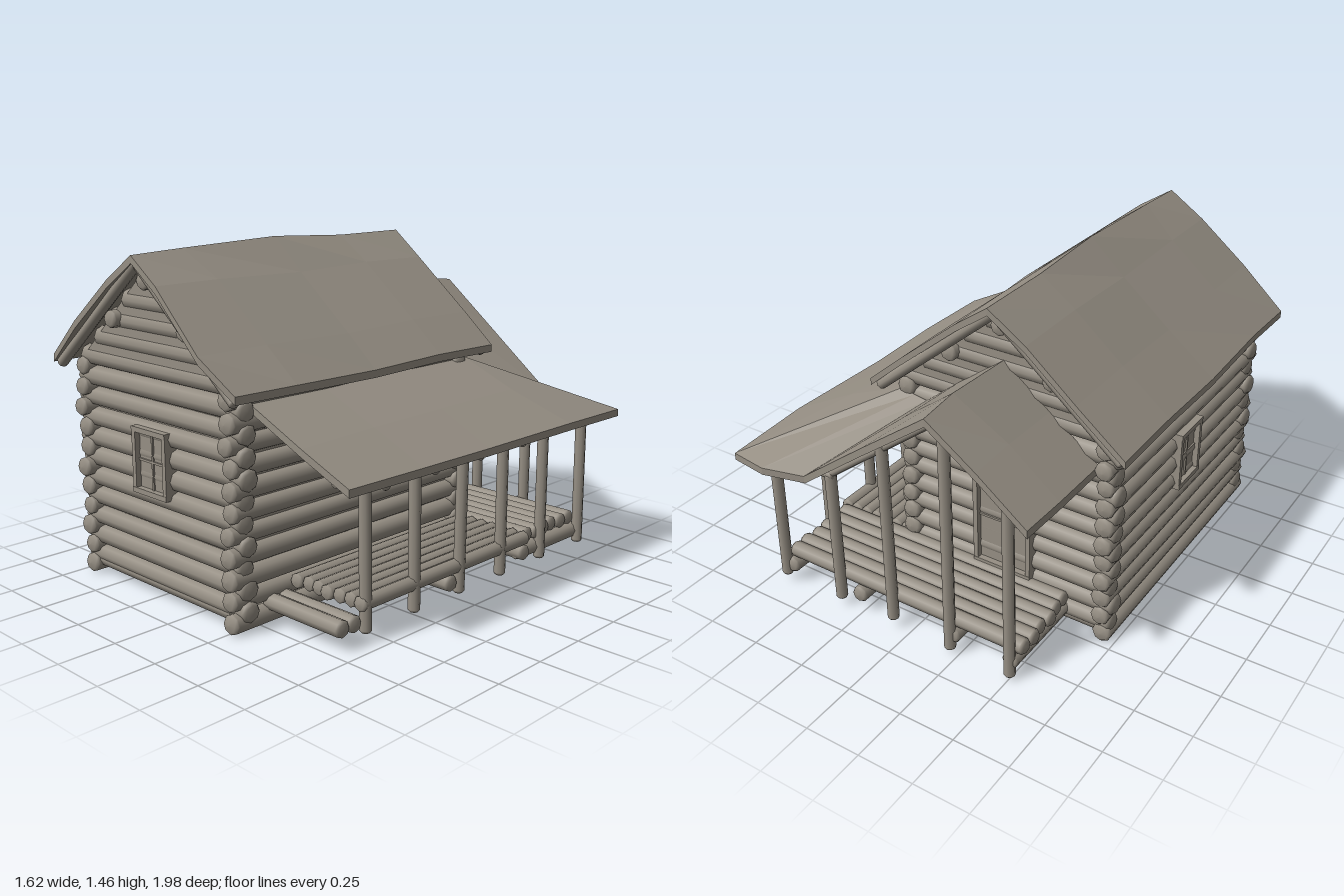
import * as THREE from 'three';

const wood = new THREE.MeshStandardMaterial({ color: 0x968f84 });
wood.name = 'weathered wood';

let seed = 7;
const jitter = (s) => {
  seed = (seed * 16807) % 2147483647;
  return (seed / 2147483647 - 0.5) * 2 * s;
};

function add(parent, name, geometry) {
  const mesh = new THREE.Mesh(geometry, wood);
  mesh.name = name;
  parent.add(mesh);
  return mesh;
}

// Eight-sided log with rounded ends, running from a to b
function log(parent, name, a, b, r) {
  const p = new THREE.Vector3(...a), q = new THREE.Vector3(...b);
  const h = p.distanceTo(q) / 2, c = r * 0.35;
  const profile = [[0, -h], [r * 0.75, -h + c * 0.2], [r, -h + c], [r, -h + c * 1.5],
    [r, h - c * 1.5], [r, h - c], [r * 0.75, h - c * 0.2], [0, h]]
    .map(([x, y]) => new THREE.Vector2(x, y));
  const mesh = add(parent, name, new THREE.LatheGeometry(profile, 8));
  mesh.position.copy(p).add(q).multiplyScalar(0.5);
  mesh.quaternion.setFromUnitVectors(new THREE.Vector3(0, 1, 0), q.sub(p).normalize());
  return mesh;
}

// Upright prism from an outline in x and y, between two depths
function prism(parent, name, points, z0, z1) {
  const shape = new THREE.Shape(points.map(([x, y]) => new THREE.Vector2(x, y)));
  const g = new THREE.ExtrudeGeometry(shape, { depth: z1 - z0, bevelEnabled: false });
  add(parent, name, g).position.z = z0;
}

// Closed slab over a grid of points: rows run to +z, columns run to +x
function slab(parent, name, rows, t) {
  const m = rows.length, n = rows[0].length, N = m * n;
  const top = rows.flat(), pos = [], idx = [];
  top.forEach(([x, y, z]) => pos.push(x, y, z));
  top.forEach(([x, y, z]) => pos.push(x, y - t, z));
  for (let i = 0; i < m - 1; i++) for (let j = 0; j < n - 1; j++) {
    const a = i * n + j, b = a + 1, c = a + n, d = c + 1;
    idx.push(a, c, b, b, c, d, a + N, b + N, c + N, b + N, d + N, c + N);
  }
  const rim = [];
  for (let j = 0; j < n; j++) rim.push((m - 1) * n + j);
  for (let i = m - 2; i >= 0; i--) rim.push(i * n + n - 1);
  for (let j = n - 2; j >= 0; j--) rim.push(j);
  for (let i = 1; i < m - 1; i++) rim.push(i * n);
  rim.forEach((p, k) => {
    const q = rim[(k + 1) % rim.length];
    idx.push(p + N, q + N, q, p + N, q, p);
  });
  const indexed = new THREE.BufferGeometry();
  indexed.setAttribute('position', new THREE.Float32BufferAttribute(pos, 3));
  indexed.setIndex(idx);
  const g = indexed.toNonIndexed();
  g.computeVertexNormals();
  return add(parent, name, g);
}

// Framed opening with crossbars, facing +z
function opening(parent, name, w, h, barsX, barsY) {
  const g = new THREE.Group();
  g.name = name;
  const box = (part, bw, bh, bd, x, y, z) =>
    add(g, part, new THREE.BoxGeometry(bw, bh, bd)).position.set(x, y, z);
  box('panel', w, h, 0.04, 0, 0, -0.01);
  for (const s of [-1, 1]) {
    box('jamb', 0.022, h, 0.07, s * (w / 2 - 0.011), 0, 0);
    box('rail', w, 0.022, 0.074, 0, s * (h / 2 - 0.011), 0);
  }
  barsX.forEach((x) => box('mullion', 0.01, h, 0.05, x, 0, -0.008));
  barsY.forEach((y) => box('crossbar', w, 0.01, 0.05, 0, y, -0.008));
  parent.add(g);
  return g;
}

export function createModel() {
  const model = new THREE.Group();
  model.name = 'logCabin';
  const part = (name) => {
    const g = new THREE.Group();
    g.name = name;
    model.add(g);
    return g;
  };
  const L = -0.69, R = 0.26, F = 0.83, B = -0.43, C = -0.22, step = 0.0885;

  // Solid core behind the logs with a raised floor, and the gable filling
  prism(model, 'wallCore', [[L, 0.16], [R, 0.16], [R, 0.98], [L, 0.98]], B, F);
  prism(model, 'gableCore', [[L, 0.98], [R, 0.98], [C, 1.4]], B - 0.034, F + 0.034);

  // Log walls, interlocking at the corners
  const walls = part('logWalls');
  for (let i = 0; i < 11; i++) {
    const y = 0.042 + i * step;
    for (const x of [L, R]) {
      log(walls, 'sideLog', [x + jitter(0.006), y, B - 0.065 + jitter(0.015)],
        [x + jitter(0.006), y, F + 0.07 + jitter(0.015)], 0.042 + jitter(0.003));
    }
  }
  for (const z of [F, B]) {
    log(walls, 'sillLog', [L, 0.06, z], [R, 0.06, z], 0.035);
    for (let i = 0; i < 10; i++) {
      const y = 0.086 + i * step;
      log(walls, 'endLog', [L - 0.05 + jitter(0.012), y, z + jitter(0.005)],
        [R + 0.05 + jitter(0.012), y, z + jitter(0.005)], 0.044 + jitter(0.003));
    }
    for (let i = 0; i < 5; i++) {
      const y = 0.971 + i * step, half = (1.405 - y) / 0.86;
      log(walls, 'gableLog', [C - half, y, z], [C + half, y, z], 0.045);
    }
  }
  for (const [x, y] of [[C, 1.33], [C - 0.23, 1.155], [C + 0.24, 1.155]]) {
    log(walls, 'purlin', [x, y, B - 0.08], [x, y, F + 0.08], 0.037);
  }

  // Windows and back door
  opening(model, 'frontWindow', 0.22, 0.28, [0], [0]).position.set(-0.23, 0.59, 0.86);
  const side = opening(model, 'leftWindow', 0.2, 0.27, [0], [0]);
  side.position.set(L - 0.025, 0.59, 0.18);
  side.rotation.y = -Math.PI / 2;
  const door = opening(model, 'backDoor', 0.28, 0.58, [], [-0.05]);
  door.position.set(C, 0.47, B - 0.03);
  door.rotation.y = Math.PI;
  log(door, 'doorHandle', [0.08, -0.02, 0.015], [0.08, 0.02, 0.015], 0.008);

  // Main roof, slightly uneven
  const roofs = part('roofs');
  const mainRows = [
    [-0.56, -0.575, 1.44, 0.965], [-0.2, -0.2, 1.44, 0.97], [0.2, 0.2, 1.46, 0.96],
    [0.65, 0.7, 1.445, 0.97], [0.945, 0.95, 1.435, 0.97],
  ].map(([ze, zr, yr, ye], i) => {
    const end = i === 4 ? 0.025 : 0;
    return [[-0.805 + jitter(0.008), ye, ze], [-0.6, ye + 0.17, ze + end],
      [-0.38, ye + 0.355, ze + end / 2], [C, yr, zr], [-0.06, ye + 0.36, ze + end / 2],
      [0.22, ye + 0.132, ze + end * 1.7], [0.38 + jitter(0.008), ye, ze]];
  });
  slab(roofs, 'mainRoof', mainRows, 0.032);
  for (const z of [F + 0.09, B - 0.1]) for (const sx of [-1, 1]) {
    log(roofs, 'gableRafter', [C, 1.405, z], [C + sx * 0.57, 0.93, z], 0.024);
  }

  // Back porch gable roof
  slab(roofs, 'backPorchRoof', [
    [[-0.645, 0.84, -0.965], [-0.43, 1.005, -0.965], [C, 1.17, -0.98], [0.1, 0.93, -0.965], [0.42, 0.685, -0.955]],
    [[-0.65, 0.84, -0.75], [-0.43, 1.015, -0.75], [C, 1.19, -0.8], [0.05, 0.98, -0.75], [0.3, 0.775, -0.74]],
    [[-0.65, 0.84, -0.46], [-0.43, 1.01, -0.46], [C, 1.175, -0.46], [0, 1.01, -0.46], [0.15, 0.89, -0.48]],
  ], 0.035);

  // Side porch lean-to with its hipped back corner
  const corner = [0.795, 0.67, -0.96];
  slab(roofs, 'sidePorchRoof', [
    [corner, corner, corner],
    [[0.28, 0.91, -0.48], [0.55, 0.8, -0.48], [0.81, 0.68, -0.55]],
    [[0.28, 0.91, 0], [0.55, 0.795, 0], [0.8, 0.675, 0]],
    [[0.28, 0.905, 0.4], [0.55, 0.79, 0.4], [0.805, 0.68, 0.4]],
    [[0.28, 0.91, 0.8], [0.58, 0.79, 0.815], [0.795, 0.68, 0.79]],
  ], 0.032);
  slab(roofs, 'porchHip', [
    [[0.42, 0.685, -0.955], [0.61, 0.68, -0.995], corner],
    [[0.15, 0.89, -0.48], [0.21, 0.9, -0.48], [0.28, 0.91, -0.48]],
  ], 0.032);

  // Porch posts, plates and rafters
  const frame = part('porchFrame');
  for (const z of [0.57, 0.29, 0.01, -0.27, -0.56, -0.86]) {
    log(frame, 'sidePost', [0.67, 0.035, z], [0.67 + jitter(0.008), 0.66, z + jitter(0.008)], 0.025);
    if (z > -0.5) log(frame, 'sideRafter', [0.28, 0.86, z], [0.78, 0.635, z], 0.018);
  }
  for (const [x, top, base] of [[0.36, 0.67, 0.035], [0.08, 0.91, 0.045], [-0.21, 1.13, 0.02], [-0.5, 0.91, 0.015]]) {
    log(frame, 'backPost', [x, base, -0.86], [x + jitter(0.006), top, -0.86], 0.025);
  }
  log(frame, 'sidePlate', [0.67, 0.665, 0.74], [0.67, 0.665, -0.9], 0.022);
  log(frame, 'backPlate', [0.34, 0.665, -0.86], [0.7, 0.665, -0.86], 0.022);
  log(frame, 'hipRafter', [0.29, 0.84, -0.48], [0.74, 0.64, -0.9], 0.018);
  log(frame, 'ridgePole', [C, 1.115, B], [C, 1.115, -0.93], 0.022);
  log(frame, 'eavePole', [-0.5, 0.91, B], [-0.5, 0.91, -0.93], 0.02);
  for (const z of [-0.6, -0.86]) {
    const [x, y] = z < -0.8 ? [0.36, 0.67] : [0.19, 0.8];
    log(frame, 'leftRafter', [C, 1.12, z], [-0.62, 0.81, z], 0.018);
    log(frame, 'rightRafter', [C, 1.12, z], [x, y, z], 0.018);
  }

  // Porch deck on joists
  const deck = part('porchDeck');
  for (const z of [0.7, 0.635, 0.065, -0.44]) {
    log(deck, 'sideJoist', [R, 0.09, z], [0.685, 0.09, z], 0.036);
  }
  for (const x of [-0.5, C, R, 0.64]) {
    log(deck, 'backJoist', [x, 0.09, B + 0.02], [x, 0.09, -0.87], 0.036);
  }
  for (let i = 0; i < 7; i++) {
    const x = 0.32 + i * 0.057;
    log(deck, 'sideDeckLog', [x, 0.155, 0.61 + jitter(0.015)], [x, 0.155, -0.46], 0.032);
  }
  for (let i = 0; i < 6; i++) {
    const z = -0.49 - i * 0.066;
    log(deck, 'backDeckLog', [-0.54 + jitter(0.02), 0.155, z], [0.66 + jitter(0.01), 0.155, z], 0.035);
  }
  return model;
}
